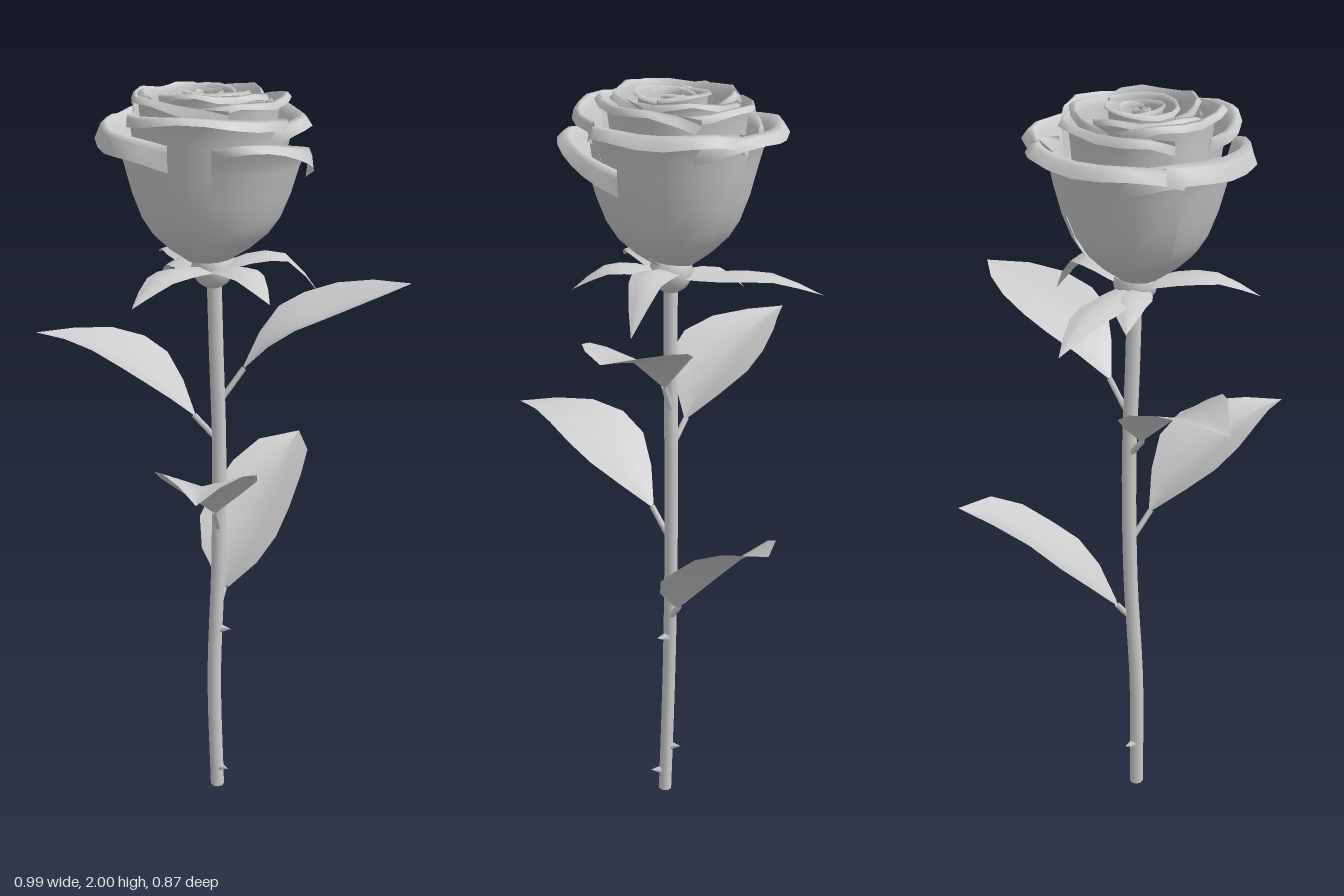
import * as THREE from 'three';

const V = (x, y, z) => new THREE.Vector3(x, y, z);
const material = new THREE.MeshStandardMaterial({ color: 0xcccccc, side: THREE.DoubleSide });

function add(parent, name, geometry) {
  const mesh = new THREE.Mesh(geometry, material);
  mesh.name = name;
  parent.add(mesh);
  return mesh;
}

// Thin sheet: fn(u, v) gives the point for u across and v along
function sheet(fn, nu, nv) {
  const g = new THREE.PlaneGeometry(1, 1, nu, nv);
  const p = g.attributes.position;
  for (let i = 0; i < p.count; i++) {
    const q = fn(p.getX(i) + 0.5, p.getY(i) + 0.5);
    p.setXYZ(i, q.x, q.y, q.z);
  }
  g.computeVertexNormals();
  return g;
}

// Linear lookup in an evenly spaced list
function lookup(list, t) {
  const f = t * (list.length - 1);
  const i = Math.min(Math.floor(f), list.length - 2);
  return THREE.MathUtils.lerp(list[i], list[i + 1], f - i);
}

// Blade along a midrib, with its edges raised (fold > 0) or hanging (fold < 0)
function blade(points, widths, fold) {
  const curve = new THREE.CatmullRomCurve3(points);
  const run = points[points.length - 1].clone().sub(points[0]);
  const side = V(-run.z, 0, run.x).normalize();
  return sheet((u, v) => {
    const s = u * 2 - 1;
    const w = lookup(widths, v);
    return curve.getPoint(v).addScaledVector(side, s * w).add(V(0, Math.abs(s) * w * fold, 0));
  }, 4, widths.length - 1);
}

// Cup outline from base to rolled rim: wall radius W, lip L, rim height T, lip droop D
const cupProfile = (W, L, T, D) => new THREE.CatmullRomCurve3([
  [0.25 * W, 1.56], [0.62 * W, 1.62], [0.83 * W, 1.69], [W, 1.81],
  [W + L * 0.3, T - 0.035], [W + L * 0.65, T], [W + L, T - D],
].map(([r, y]) => V(r, y, 0)));

// Petal centred on angle a: its rim tucks in at both ends, skew winds it
// from outside to inside, tilt slopes the rim sideways
function petal({ a, span, W, L, T, D, skew = 0.12, tilt = 0 }) {
  const profile = cupProfile(W, L, T, D);
  return sheet((u, v) => {
    const e = Math.abs(u * 2 - 1);
    const q = profile.getPoint(v);
    const angle = a + (0.5 - u) * span;
    const wave = 0.009 * Math.sin(angle * 5 + a * 3) * v ** 4;
    const r = q.x * (1 + (u - 0.5) * skew) - L * 0.85 * e ** 4 * v ** 4 + wave;
    const y = q.y - 0.04 * e ** 3 * v ** 3 + tilt * (u - 0.5) * v ** 3 + wave;
    return V(r * Math.cos(angle), y, r * Math.sin(angle));
  }, 9, 10);
}

export function createModel() {
  const rose = new THREE.Group();
  rose.name = 'rose';

  // Stem, gently bent
  const stemCurve = new THREE.CatmullRomCurve3([
    V(-0.022, 0, -0.046), V(-0.03, 0.35, -0.052), V(-0.018, 0.7, -0.062),
    V(-0.015, 1.05, -0.062), V(-0.022, 1.3, -0.056), V(-0.028, 1.53, -0.052),
  ]);
  add(rose, 'stem', new THREE.TubeGeometry(stemCurve, 20, 0.019, 8));
  const foot = add(rose, 'stemEnd', new THREE.CircleGeometry(0.019, 8));
  foot.position.set(-0.022, 0.001, -0.046);
  foot.rotation.x = Math.PI / 2;

  // Thorns: height and heading
  for (const [y, heading] of [[0.06, 0.8], [0.14, -1.6], [0.5, 0.5]]) {
    const c = stemCurve.getPoint(y / 1.53);
    const dir = V(Math.cos(heading), 0.15, Math.sin(heading)).normalize();
    const thorn = add(rose, 'thorn', new THREE.ConeGeometry(0.014, 0.035, 5));
    thorn.position.set(c.x, y, c.z).addScaledVector(dir, 0.027);
    thorn.quaternion.setFromUnitVectors(V(0, 1, 0), dir);
  }

  // Leaves: stalk root followed by the midrib of the blade
  const leafWidths = [0.008, 0.065, 0.112, 0.125, 0.112, 0.07, 0];
  const taperWidths = [0.008, 0.075, 0.125, 0.13, 0.1, 0.05, 0];
  const broadWidths = [0.015, 0.09, 0.125, 0.125, 0.11, 0.08, 0];
  const leaves = [
    ['leftLeaf', leafWidths, [V(-0.015, 1.17, -0.06), V(0.05, 1.26, -0.07), V(0.13, 1.34, -0.08),
      V(0.23, 1.385, -0.085), V(0.36, 1.43, -0.1), V(0.49, 1.47, -0.115)]],
    ['rightLeaf', taperWidths, [V(-0.015, 1.06, -0.06), V(-0.08, 1.13, -0.075), V(-0.15, 1.2, -0.09),
      V(-0.24, 1.26, -0.11), V(-0.36, 1.31, -0.145), V(-0.495, 1.33, -0.18)]],
    ['frontLeaf', taperWidths, [V(-0.015, 0.8, -0.06), V(-0.03, 0.88, 0), V(-0.045, 0.96, 0.08),
      V(-0.06, 1.03, 0.18), V(-0.075, 1.08, 0.3), V(-0.09, 1.09, 0.43)]],
    ['backLeaf', broadWidths, [V(-0.018, 0.56, -0.06), V(0, 0.61, -0.095), V(0.025, 0.69, -0.15),
      V(0.08, 0.78, -0.235), V(0.155, 0.88, -0.33), V(0.232, 0.94, -0.435)]],
  ];
  for (const [name, widths, points] of leaves) {
    const leaf = new THREE.Group();
    leaf.name = name;
    rose.add(leaf);
    const stalk = new THREE.LineCurve3(points[0], points[1]);
    add(leaf, 'stalk', new THREE.TubeGeometry(stalk, 1, 0.008, 5));
    add(leaf, 'blade', blade(points.slice(1), widths, 0.3));
  }

  // Bulb under the flower
  const bulb = add(rose, 'bulb', new THREE.SphereGeometry(0.056, 12, 8));
  bulb.position.set(-0.03, 1.54, -0.052);

  // Sepals arching out and down from the bulb: tip and crest height
  for (const [x, y, z, crest] of [
    [0.25, 1.45, -0.075, 1.58], [-0.165, 1.485, -0.41, 1.55], [-0.235, 1.5, 0.18, 1.57],
    [-0.16, 1.48, -0.2, 1.55], [0.1, 1.5, 0.16, 1.57],
  ]) {
    const tip = V(x, y, z);
    const root = V(-0.03, 1.535, -0.052);
    const at = (t, h) => root.clone().lerp(tip, t).setY(h);
    add(rose, 'sepal', blade([root, at(0.33, crest - 0.01), at(0.66, crest - 0.012), tip],
      [0.025, 0.042, 0.05, 0.052, 0.042, 0.024, 0], -0.25));
  }

  // Flower
  const flower = new THREE.Group();
  flower.name = 'flower';
  flower.position.set(-0.045, 0, -0.055);
  rose.add(flower);

  // Outer petals with broad rolled lips, the last one peeling away
  for (const p of [
    { a: 1.75, span: 2.3, W: 0.196, L: 0.06, T: 1.955, D: 0.02 },
    { a: 3.1, span: 2.2, W: 0.206, L: 0.07, T: 1.91, D: 0.05 },
    { a: 4.6, span: 2.4, W: 0.203, L: 0.075, T: 1.915, D: 0.03 },
    { a: 6.1, span: 2.3, W: 0.198, L: 0.065, T: 1.93, D: 0.03 },
    { a: 0.85, span: 1.4, W: 0.22, L: 0.065, T: 1.885, D: 0.03, tilt: -0.08 },
  ]) add(flower, 'outerPetal', petal(p));

  // Rings of inner petals, wound so that each starts outside and ends inside
  [
    { n: 3, W: 0.16, L: 0.035, T: 1.975, D: 0.018, skew: 0.2, start: 0.7 },
    { n: 3, W: 0.124, L: 0.03, T: 1.985, D: 0.015, skew: 0.26, start: 1.6 },
  ].forEach(({ n, T, start, ...shape }, k) => {
    for (let i = 0; i < n; i++) {
      const a = start + (i / n) * Math.PI * 2;
      const rim = T + 0.01 * Math.sin(i * 2.4 + k);
      add(flower, 'innerPetal', petal({ ...shape, a, T: rim, span: (Math.PI * 2 / n) * 1.4 }));
    }
  });

  // Heart: one sheet wound in a tightening spiral
  const heart = cupProfile(0.088, 0.022, 1.985, 0.01);
  add(flower, 'heart', sheet((u, v) => {
    const q = heart.getPoint(v);
    const angle = -u * Math.PI * 6;
    const r = q.x * (0.08 + 0.92 * u);
    const y = q.y - 0.01 * (1 - u) * v + 0.008 * Math.sin(angle * 1.7) * v ** 3;
    return V(r * Math.cos(angle), y, r * Math.sin(angle));
  }, 40, 8));

  return rose;
}
